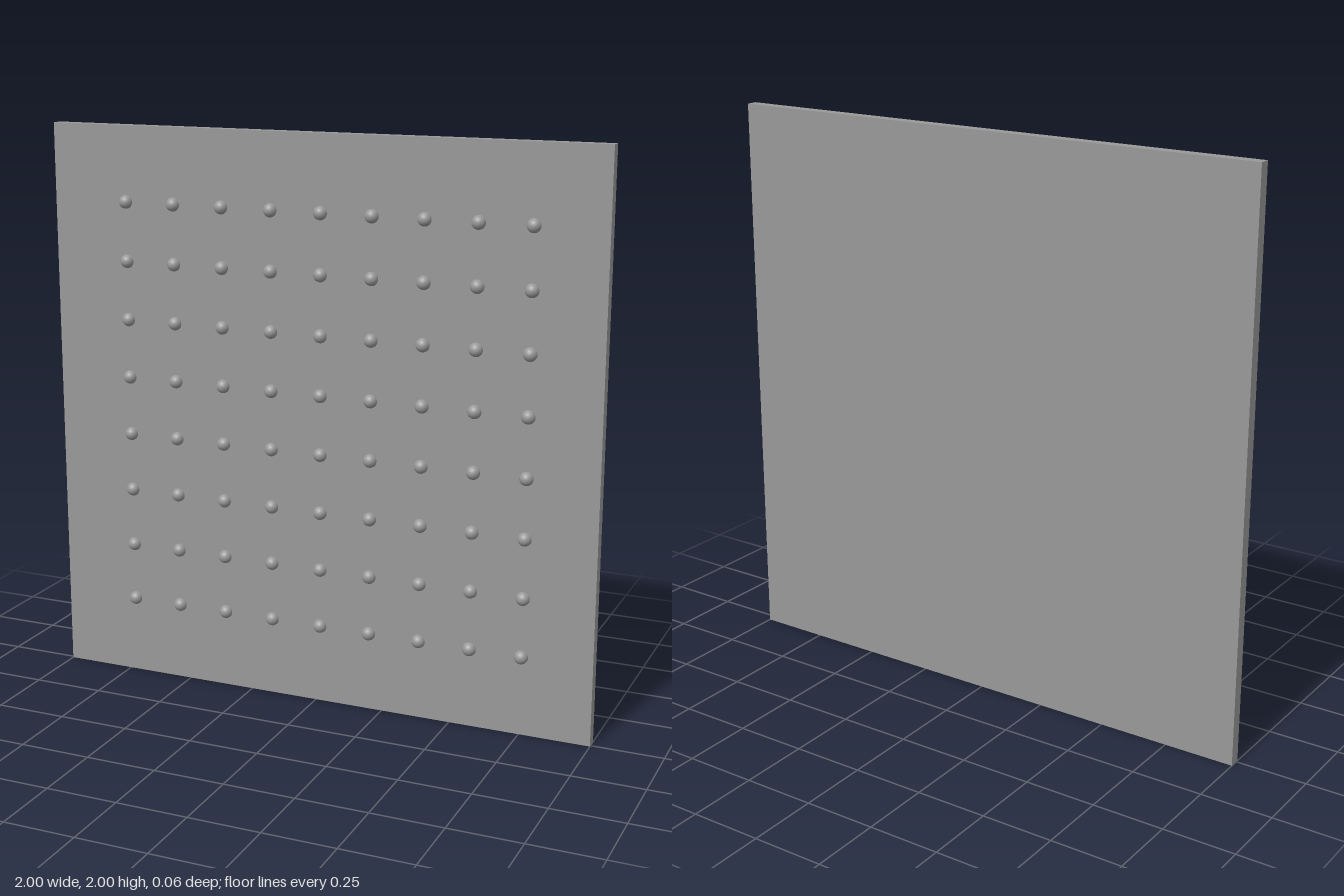
import * as THREE from 'three';

export function createModel() {
  const group = new THREE.Group();
  const material = new THREE.MeshStandardMaterial({ color: 0x999999 });

  const thickness = 0.04, studRadius = 0.024;
  const back = -(thickness + studRadius) / 2;
  const front = back + thickness;

  // Flat square panel
  const panel = new THREE.Mesh(new THREE.BoxGeometry(2, 2, thickness), material);
  panel.name = 'panel';
  panel.position.set(0, 1, back + thickness / 2);
  group.add(panel);

  // Grid of round studs, half sunk into the front face
  const studs = new THREE.Group();
  studs.name = 'studs';
  const studGeometry = new THREE.SphereGeometry(studRadius, 24, 16);
  const columns = 9, rows = 8;
  for (let row = 0; row < rows; row++) {
    for (let column = 0; column < columns; column++) {
      const stud = new THREE.Mesh(studGeometry, material);
      stud.name = 'stud';
      stud.position.set(-0.72 + column * 0.184, 0.28 + row * 0.208, front);
      studs.add(stud);
    }
  }
  group.add(studs);

  return group;
}
